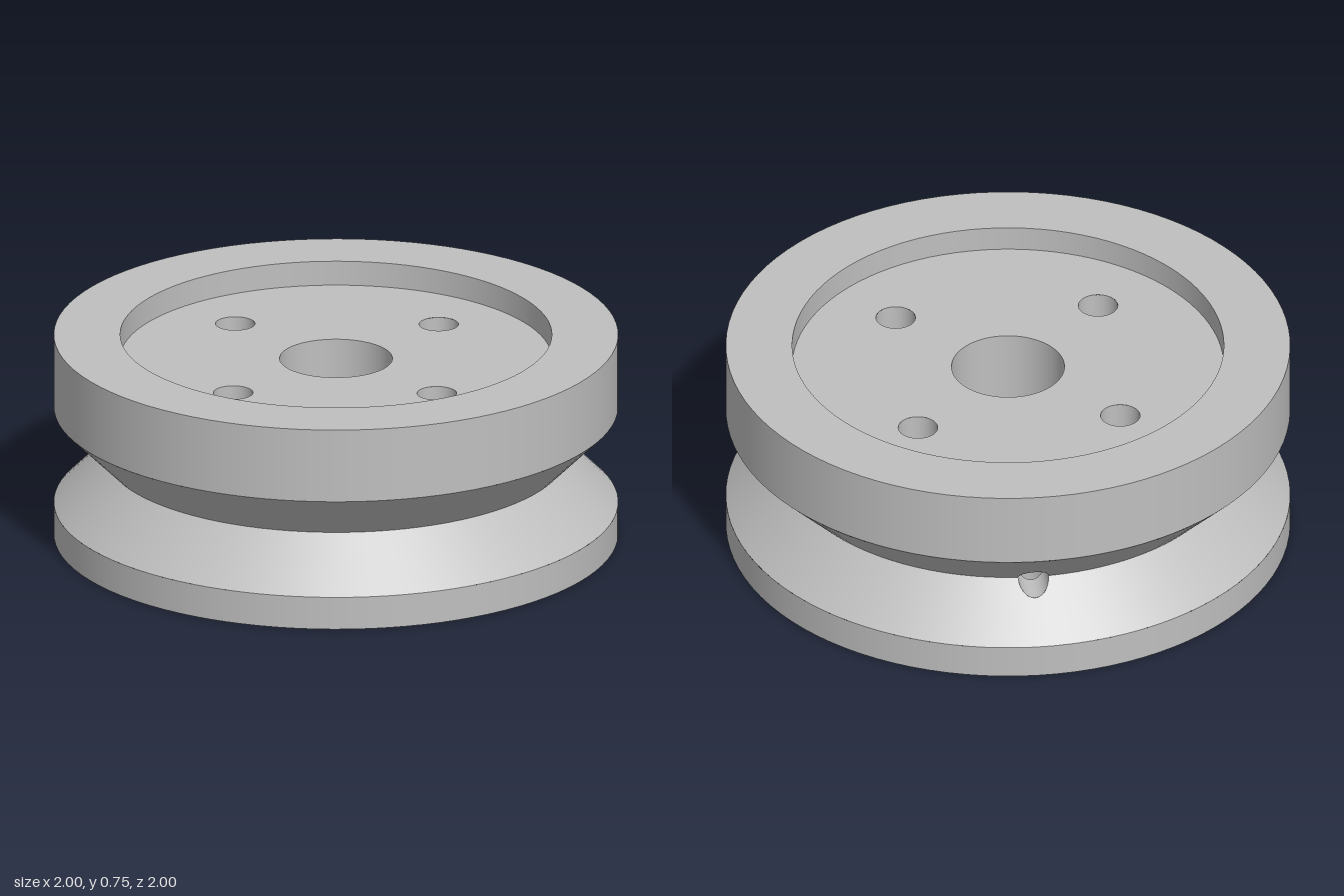
import * as THREE from 'three';
import { mergeGeometries } from 'three/addons/utils/BufferGeometryUtils.js';

const HEIGHT = 0.75, FLOOR = 0.66, RECESS = 0.765, BORE = 0.2;
const GROOVE_R = 0.82, GROOVE_Y = 0.3, GROOVE_H = 0.18;
const BOLT_RING = 0.51, BOLT_R = 0.07, COUNTERBORE_R = 0.13, STEP_Y = 0.4;
const CORD_R = 0.054, CORD_RING = 0.7;

// Revolved surface with hard corners: one lathe per profile segment
function revolve(profile, segments = 96, start = 0, length = Math.PI * 2) {
  const parts = [];
  for (let i = 0; i < profile.length - 1; i++) {
    const pts = [profile[i], profile[i + 1]].map(([r, y]) => new THREE.Vector2(r, y));
    parts.push(new THREE.LatheGeometry(pts, segments, start, length));
  }
  return mergeGeometries(parts);
}

// Move each vertex by a rule
function warp(geometry, rule) {
  const p = geometry.attributes.position, v = new THREE.Vector3();
  for (let i = 0; i < p.count; i++) {
    rule(v.fromBufferAttribute(p, i));
    p.setXYZ(i, v.x, v.y, v.z);
  }
  return geometry;
}

// Flat disc with round holes given as [x, z, radius]
function disc(radius, holes, y, up) {
  const shape = new THREE.Shape().absarc(0, 0, radius, 0, Math.PI * 2);
  for (const [x, z, r] of holes) {
    shape.holes.push(new THREE.Path().absarc(x, up ? -z : z, r, 0, Math.PI * 2, true));
  }
  return new THREE.ShapeGeometry(shape, 48).rotateX(up ? -Math.PI / 2 : Math.PI / 2).translate(0, y, 0);
}

export function createModel() {
  const model = new THREE.Group();
  model.name = 'pulley';
  const grey = new THREE.MeshStandardMaterial({ color: 0xbfbfbf });
  grey.name = 'grey';
  const add = (name, geometry, parent = model) => {
    const mesh = new THREE.Mesh(geometry, grey);
    mesh.name = name;
    parent.add(mesh);
    return mesh;
  };

  // Rims, recess and centre bore
  add('lowerRim', revolve([[1, 0], [1, GROOVE_Y - GROOVE_H]]));
  add('upperRim', revolve([[1, GROOVE_Y + GROOVE_H], [1, HEIGHT], [RECESS, HEIGHT], [RECESS, FLOOR]]));
  add('bore', revolve([[BORE, FLOOR], [BORE, 0]]));

  // Four counterbored bolt holes
  const boltSpots = [[1, 0], [0, 1], [-1, 0], [0, -1]].map(([x, z]) => [x * BOLT_RING, z * BOLT_RING]);
  const boltProfile = [[BOLT_R, FLOOR], [BOLT_R, STEP_Y], [COUNTERBORE_R, STEP_Y], [COUNTERBORE_R, 0]];
  for (const [x, z] of boltSpots) add('boltHole', revolve(boltProfile, 48)).position.set(x, 0, z);

  // Recess floor and underside
  const cord = CORD_RING * Math.SQRT1_2;
  const hub = [0, 0, BORE];
  add('recessFloor', disc(RECESS, [hub, ...boltSpots.map(s => [...s, BOLT_R])], FLOOR, true));
  add('underside', disc(1, [hub, [cord, -cord, CORD_R], ...boltSpots.map(s => [...s, COUNTERBORE_R])], 0, false));

  // Groove and cord hole, built with the hole along +x and then turned
  const turned = new THREE.Group();
  turned.name = 'groove';
  turned.rotation.y = Math.PI / 4;
  model.add(turned);

  const half = Math.asin(CORD_R / GROOVE_R);
  const grooveProfile = [[1, GROOVE_Y - GROOVE_H], [GROOVE_R, GROOVE_Y], [1, GROOVE_Y + GROOVE_H]];
  add('grooveWalls', revolve(grooveProfile, 96, Math.PI / 2 + half, Math.PI * 2 - 2 * half), turned);

  // Short groove sector whose inner edges follow the mouth of the cord hole
  const mouth = [];
  for (const side of [-1, 1]) {
    const edge = [[GROOVE_R, GROOVE_Y], [1, GROOVE_Y + side * GROOVE_H]];
    if (side < 0) edge.reverse();
    mouth.push(warp(revolve(edge, 32, Math.PI / 2 - half, 2 * half), v => {
      const r = Math.hypot(v.x, v.z);
      if (r > 0.9) return;
      const s2 = (v.z / r) ** 2;
      const a = 1 + s2, b = 2 * GROOVE_R * s2, c = GROOVE_R ** 2 * s2 - CORD_R ** 2;
      const h = Math.max(0, (-b + Math.sqrt(b * b - 4 * a * c)) / (2 * a));
      const k = (GROOVE_R + h) / r;
      v.set(v.x * k, GROOVE_Y + side * h, v.z * k);
    }));
  }
  add('cordHoleMouth', mergeGeometries(mouth), turned);

  // Cord hole: upright and radial bores joined by a mitre
  const tube = () => revolve([[CORD_R, 1], [CORD_R, 0]], 40);
  add('cordHoleUpright', warp(tube(), v => {
    if (v.y > 0.5) v.y = GROOVE_Y - v.x;
    v.x += CORD_RING;
  }), turned);
  add('cordHoleRadial', warp(tube().rotateZ(-Math.PI / 2), v => {
    v.x = v.x > 0.5 ? Math.sqrt((GROOVE_R + Math.abs(v.y)) ** 2 - v.z ** 2) : CORD_RING - v.y;
    v.y += GROOVE_Y;
  }), turned);

  return model;
}
